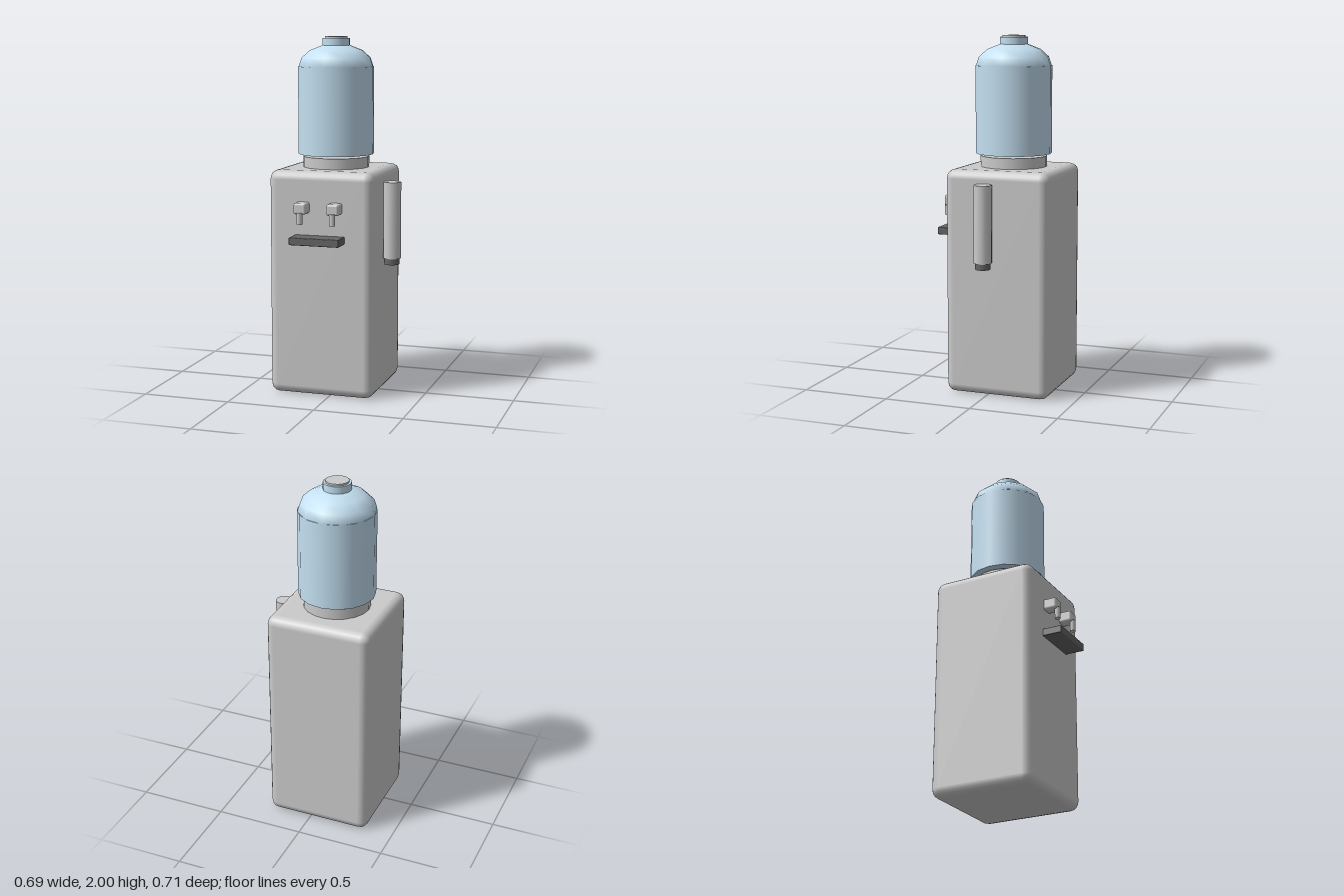
import * as THREE from 'three';
import { RoundedBoxGeometry } from 'three/addons/geometries/RoundedBoxGeometry.js';

export function createModel() {
  const model = new THREE.Group();
  model.name = 'waterDispenser';
  const grey = new THREE.MeshStandardMaterial({ color: 0xcccccc });
  const dark = new THREE.MeshStandardMaterial({ color: 0x666668 });
  const blue = new THREE.MeshStandardMaterial({ color: 0xc4e0f2 });
  const cx = -0.048, cz = -0.055; // cabinet axis

  function add(name, geometry, material, x, y, z, parent = model) {
    const mesh = new THREE.Mesh(geometry, material);
    mesh.name = name;
    mesh.position.set(x, y, z);
    parent.add(mesh);
    return mesh;
  }

  // Upright cylinder given by its bottom and top heights
  function column(name, radius, y0, y1, sides, material, x, z, parent) {
    const geometry = new THREE.CylinderGeometry(radius, radius, y1 - y0, sides);
    return add(name, geometry, material, x, (y0 + y1) / 2, z, parent);
  }

  // Cabinet and the collar the bottle sits over
  add('cabinet', new RoundedBoxGeometry(0.6, 1.265, 0.6, 2, 0.05), grey, cx, 0.6375, cz);
  column('collar', 0.187, 1.265, 1.33, 20, grey, cx, cz);

  // Bottle: body, flattened dome, neck and cap
  const bottle = new THREE.Group();
  bottle.name = 'bottle';
  model.add(bottle);
  column('bottleBody', 0.214, 1.343, 1.833, 16, blue, cx, cz, bottle);
  const dome = new THREE.SphereGeometry(0.214, 12, 4, 0, Math.PI * 2, 0, Math.PI / 2);
  dome.scale(1, 0.59, 1);
  add('bottleDome', dome, blue, cx, 1.833, cz, bottle);
  column('bottleNeck', 0.077, 1.94, 1.99, 16, blue, cx, cz, bottle);
  column('bottleCap', 0.064, 1.985, 2, 16, grey, cx, cz, bottle);

  // Pair of taps with spouts
  for (const side of [-1, 1]) {
    const tap = new THREE.Group();
    tap.name = side < 0 ? 'rightTap' : 'leftTap';
    model.add(tap);
    const x = cx + side * 0.094;
    add('tapBlock', new RoundedBoxGeometry(0.07, 0.062, 0.084, 2, 0.012), grey, x, 1.071, 0.275, tap);
    column('spout', 0.016, 0.985, 1.05, 10, grey, x, 0.311, tap);
  }

  // Drip tray
  add('dripTray', new RoundedBoxGeometry(0.285, 0.042, 0.12, 1, 0.004), dark, cx, 0.896, 0.294);

  // Cup holder tube on the left side
  column('cupHolder', 0.05, 0.77, 1.2, 14, grey, 0.297, 0);
  column('cupHolderEnd', 0.043, 0.735, 0.775, 14, dark, 0.297, 0);

  return model;
}
